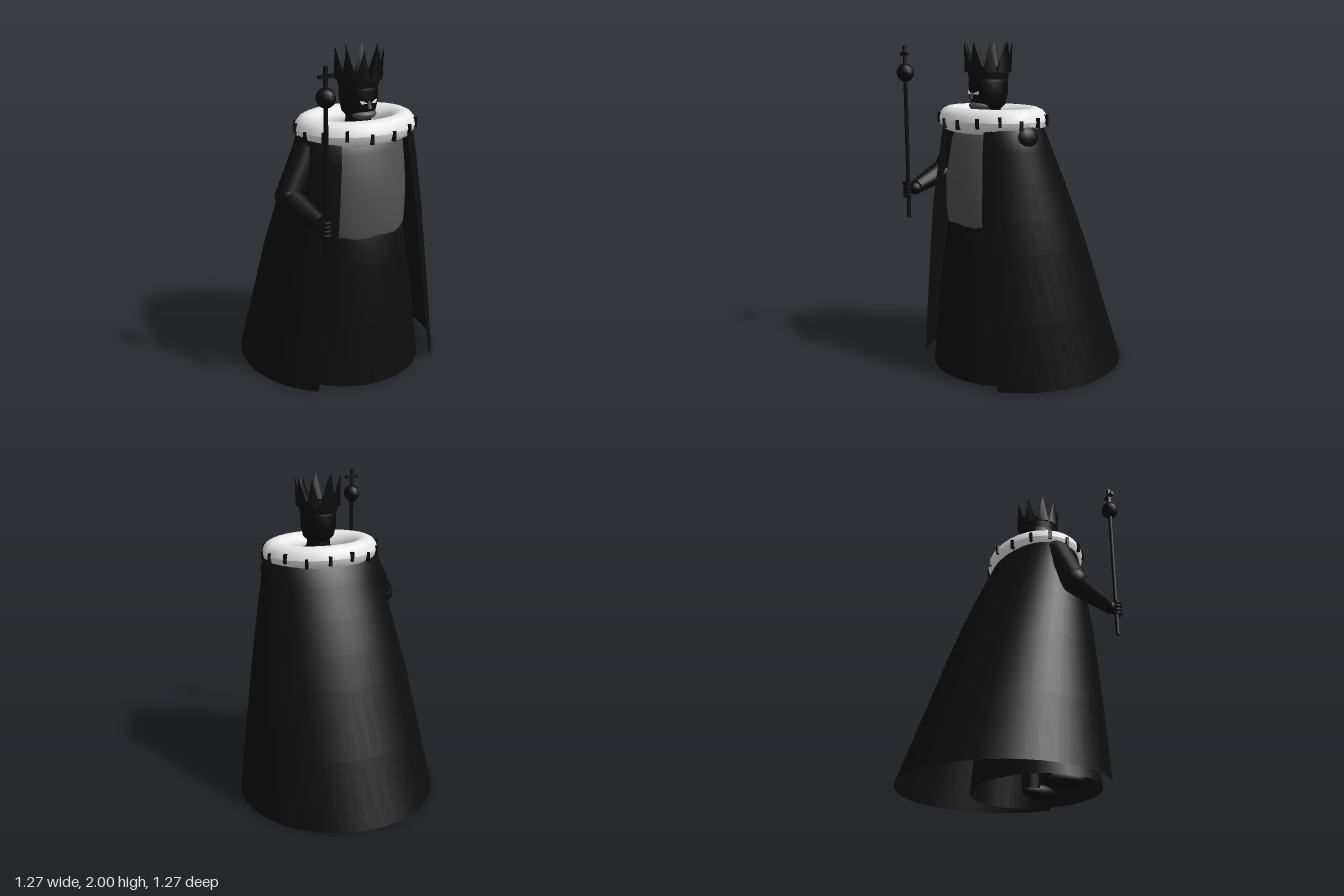
import * as THREE from 'three';
import { mergeVertices } from 'three/addons/utils/BufferGeometryUtils.js';

const mat = (name, color, side = THREE.FrontSide) => {
  const m = new THREE.MeshStandardMaterial({ color, side });
  m.name = name;
  return m;
};

// Skin a stack of cross-sections; point(row, u) gives a position for u in 0..1
function loft(rows, n, point) {
  const pos = [], idx = [];
  rows.forEach((row, i) => {
    for (let j = 0; j <= n; j++) {
      pos.push(...point(row, j / n));
      if (i < rows.length - 1 && j < n) {
        const a = i * (n + 1) + j, c = a + n + 1;
        idx.push(a, a + 1, c, a + 1, c + 1, c);
      }
    }
  });
  let g = new THREE.BufferGeometry();
  g.setAttribute('position', new THREE.Float32BufferAttribute(pos, 3));
  g.setIndex(idx);
  g = mergeVertices(g);
  g.computeVertexNormals();
  return g;
}

// Closed oval section: row = [y, radiusX, radiusZ, centreZ]
const oval = ([y, rx, rz, cz], u) => {
  const a = u * Math.PI * 2;
  return [rx * Math.sin(a), y, cz + rz * Math.cos(a)];
};

// Open cloak section: row = [y, halfWidth, backZ, centreZ, edgeX, edgeZ]
const drape = ([y, w, back, cz, ex, ez], u) => {
  const end = Math.PI - Math.asin(ex / w);
  const t = (u * 2 - 1) * end;
  const c = Math.cos(t);
  const r = c > 0 ? cz - back : (cz - ez) / Math.cos(end);
  return [-w * Math.sin(t), y, cz - r * c];
};

export function createModel() {
  const group = new THREE.Group();
  const cloth = mat('blackCloth', 0x0d0d0d, THREE.DoubleSide);
  const black = mat('black', 0x090909);
  const grey = mat('greyVest', 0x505050, THREE.DoubleSide);
  const white = mat('whiteFur', 0xf2f2f2);

  const add = (name, geo, material, x = 0, y = 0, z = 0, parent = group) => {
    const m = new THREE.Mesh(geo, material);
    m.name = name;
    m.position.set(x, y, z);
    parent.add(m);
    return m;
  };
  // Tapered limb between two points
  const limb = (name, a, b, ra, rb, material) => {
    const p = new THREE.Vector3(...a), q = new THREE.Vector3(...b);
    const d = q.clone().sub(p);
    const m = add(name, new THREE.CylinderGeometry(rb, ra, d.length(), 14), material);
    m.position.copy(p).addScaledVector(d, 0.5);
    m.quaternion.setFromUnitVectors(new THREE.Vector3(0, 1, 0), d.normalize());
    return m;
  };

  // Cloak, open at the front
  add('cloak', loft([
    [0, 0.635, -0.635, 0, 0.41, 0.485],
    [0.4, 0.572, -0.49, 0.05, 0.355, 0.49],
    [0.8, 0.508, -0.345, 0.1, 0.295, 0.492],
    [1.0, 0.468, -0.268, 0.14, 0.272, 0.488],
    [1.2, 0.43, -0.185, 0.18, 0.25, 0.468],
    [1.38, 0.395, -0.1, 0.21, 0.23, 0.45],
    [1.5, 0.372, -0.045, 0.22, 0.22, 0.435],
    [1.54, 0.305, 0, 0.225, 0.19, 0.4],
  ], 36, drape), cloth);

  // Long skirt and vest
  add('skirt', loft([
    [0, 0.44, 0.38, 0.2],
    [0.4, 0.395, 0.345, 0.2],
    [0.75, 0.34, 0.305, 0.205],
    [0.9, 0.31, 0.275, 0.21],
    [1.0, 0.28, 0.24, 0.215],
  ], 28, oval), cloth);
  add('vest', loft([
    [0.925, 0.312, 0.27, 0.215],
    [1.0, 0.318, 0.279, 0.215],
    [1.17, 0.322, 0.278, 0.215],
    [1.3, 0.318, 0.25, 0.215],
    [1.42, 0.31, 0.215, 0.22],
    [1.48, 0.28, 0.185, 0.225],
    [1.52, 0.19, 0.14, 0.235],
    [1.56, 0.08, 0.08, 0.25],
  ], 28, ([y, ...r], u) => oval([y < 0.93 ? y + 0.008 * Math.cos(u * Math.PI * 40) : y, ...r], u)), grey);

  // Fur collar with small dark tails
  const ring = new THREE.TorusGeometry(1, 0.073, 14, 28);
  const p = ring.attributes.position;
  for (let i = 0; i < p.count; i++) {
    const a = Math.atan2(p.getY(i), p.getX(i));
    const d = Math.hypot(p.getX(i), p.getY(i)) - 1;
    p.setXYZ(i, Math.cos(a) * (0.303 + d), p.getZ(i), -Math.sin(a) * (0.226 + d));
  }
  ring.computeVertexNormals();
  add('furCollar', ring, white, 0, 1.542, 0.222);
  for (let i = 0; i < 16; i++) {
    const a = (i + 0.5) / 16 * Math.PI * 2;
    const tail = add('furTail', new THREE.BoxGeometry(0.018, 0.058, 0.022), black,
      Math.sin(a) * 0.374, 1.537 + (i % 3 - 1) * 0.012, 0.222 + Math.cos(a) * 0.297);
    tail.rotation.y = a;
  }

  // Legs, shoes and shoulders
  for (const s of [-1, 1]) {
    limb('leg', [s * 0.15, 0.06, 0.24], [s * 0.13, 0.85, 0.22], 0.055, 0.09, black);
    const shoe = add('shoe', new THREE.SphereGeometry(1, 14, 10), black, s * 0.17, 0.05, 0.3);
    shoe.scale.set(0.055, 0.05, 0.13);
    shoe.rotation.y = s * 0.25;
    const shoulder = add('shoulder', new THREE.SphereGeometry(0.088, 16, 12), cloth, s * 0.312, 1.452, 0.225);
    shoulder.scale.z = 1.05;
  }

  // Raised right arm and fist
  limb('upperArm', [-0.325, 1.45, 0.23], [-0.472, 1.19, 0.265], 0.085, 0.078, cloth);
  add('elbow', new THREE.SphereGeometry(0.08, 16, 12), cloth, -0.472, 1.19, 0.265);
  limb('forearm', [-0.472, 1.185, 0.265], [-0.412, 1.1, 0.52], 0.077, 0.046, cloth);
  add('hand', new THREE.SphereGeometry(0.042, 12, 10), black, -0.408, 1.09, 0.535);
  for (let i = 0; i < 4; i++) {
    const finger = add('finger', new THREE.TorusGeometry(0.026, 0.011, 6, 10, 4.6), black,
      -0.41, 1.125 - i * 0.025, 0.582);
    finger.rotation.x = Math.PI / 2;
  }

  // Sceptre with orb and cross
  const sceptre = new THREE.Group();
  sceptre.name = 'sceptre';
  sceptre.position.set(-0.41, 0, 0.582);
  group.add(sceptre);
  add('rod', new THREE.CylinderGeometry(0.013, 0.013, 0.87, 8), black, 0, 1.345, 0, sceptre);
  add('orb', new THREE.SphereGeometry(0.055, 8, 7), black, 0, 1.81, 0, sceptre);
  add('crossPost', new THREE.BoxGeometry(0.018, 0.125, 0.018), black, 0, 1.91, 0, sceptre);
  add('crossBar', new THREE.BoxGeometry(0.09, 0.018, 0.018), black, 0, 1.921, 0, sceptre);

  // Head
  add('neck', new THREE.CylinderGeometry(0.07, 0.08, 0.16, 14), black, 0, 1.58, 0.25);
  add('head', loft([
    [1.585, 0.01, 0.01, 0.26],
    [1.595, 0.065, 0.075, 0.255],
    [1.63, 0.095, 0.105, 0.25],
    [1.69, 0.11, 0.118, 0.25],
    [1.76, 0.112, 0.12, 0.25],
    [1.81, 0.1, 0.108, 0.25],
    [1.845, 0.06, 0.065, 0.25],
    [1.855, 0.005, 0.005, 0.25],
  ], 20, oval), black);
  const nose = add('nose', new THREE.ConeGeometry(0.018, 0.055, 4), black, 0, 1.69, 0.37);
  nose.rotation.x = -0.2;
  const beard = add('beard', new THREE.SphereGeometry(1, 14, 10), grey, 0, 1.622, 0.31);
  beard.scale.set(0.078, 0.032, 0.062);
  // Slanted eyes
  for (const s of [-1, 1]) {
    const shape = new THREE.Shape();
    shape.moveTo(s * 0.014, -0.008);
    shape.lineTo(s * 0.05, -0.01);
    shape.lineTo(s * 0.058, 0.01);
    shape.lineTo(s * 0.03, 0.003);
    const eye = add('eye', new THREE.ExtrudeGeometry(shape, { depth: 0.008, bevelEnabled: false }),
      white, 0, 1.7, 0.371);
    eye.rotation.y = s * 0.35;
  }

  // Crown
  const crown = new THREE.Group();
  crown.name = 'crown';
  crown.position.set(0, 0, 0.25);
  group.add(crown);
  add('crownBand', new THREE.CylinderGeometry(0.128, 0.117, 0.075, 18, 1, true), cloth, 0, 1.815, 0, crown);
  for (let i = 0; i < 9; i++) {
    const a = Math.PI + i / 9 * Math.PI * 2;
    const spike = add('crownSpike', new THREE.ConeGeometry(0.046, 0.18, 4, 1).rotateY(Math.PI / 4)
      .scale(1.2, 1, 0.5), black, Math.sin(a) * 0.132, 1.91, Math.cos(a) * 0.132, crown);
    spike.rotation.set(0.14, a, 0, 'YXZ');
  }
  return group;
}
